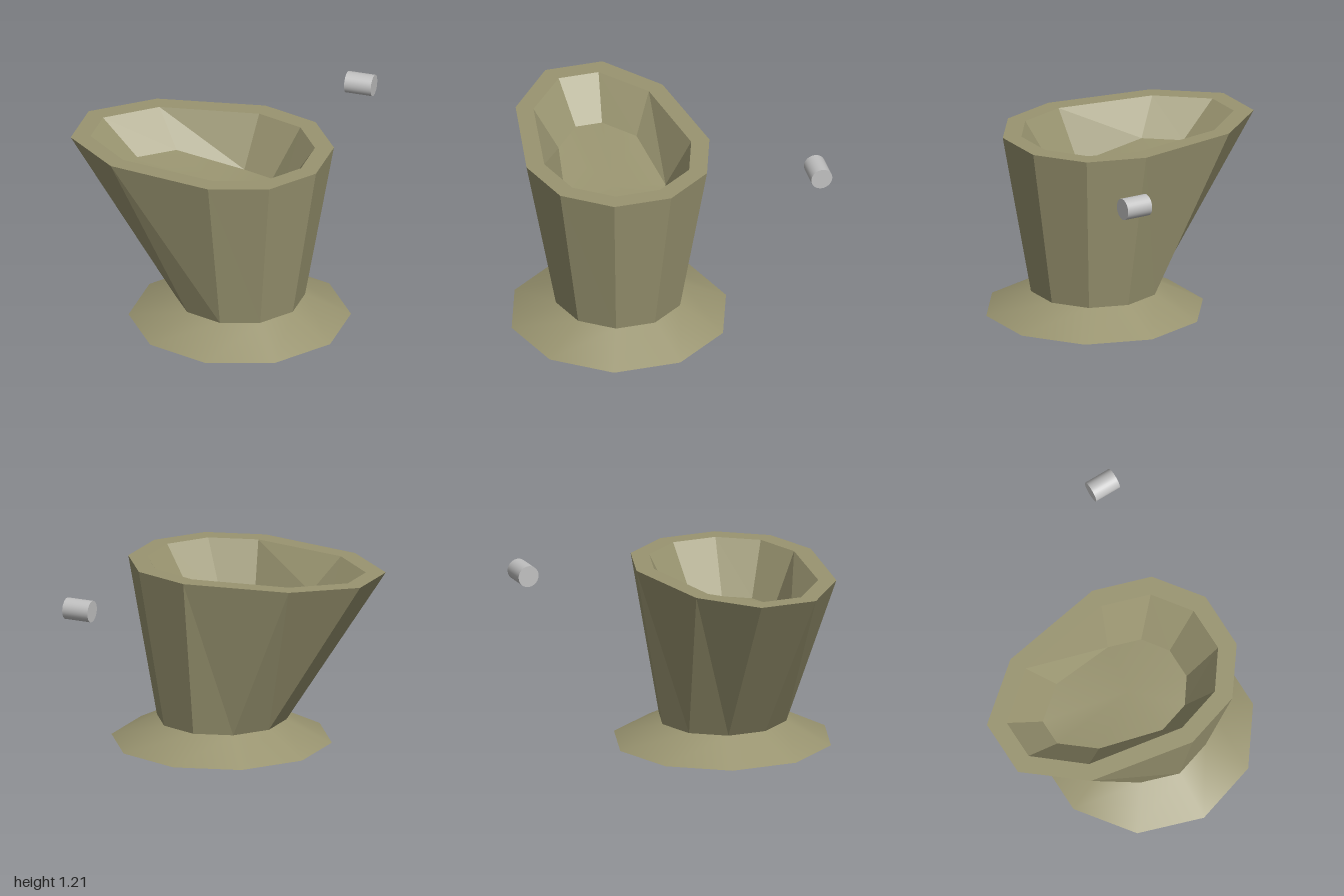
import * as THREE from 'three';
import { mergeVertices } from 'three/addons/utils/BufferGeometryUtils.js';

const CX = 0.2, CZ = 0.28, SIDES = 10;

// Ten-sided ring, mirrored in z; half lists [x, z offset, y] from the +x side to the -x side
function ring(half) {
  const near = half.map(([x, dz, y]) => new THREE.Vector3(x, y, CZ + dz));
  const far = half.map(([x, dz, y]) => new THREE.Vector3(x, y, CZ - dz)).reverse();
  return near.concat(far);
}

// Faceted strip of faces joining ring a to ring b
function band(a, b) {
  const points = [];
  for (let i = 0; i < SIDES; i++) {
    const j = (i + 1) % SIDES;
    points.push(a[i], b[j], a[j], a[i], b[i], b[j]);
  }
  const geometry = new THREE.BufferGeometry().setFromPoints(points);
  geometry.computeVertexNormals();
  return geometry;
}

// Smooth fan joining a ring to a centre point
function fan(a, centre) {
  const points = [];
  for (let i = 0; i < SIDES; i++) points.push(a[i], centre, a[(i + 1) % SIDES]);
  const geometry = mergeVertices(new THREE.BufferGeometry().setFromPoints(points));
  geometry.computeVertexNormals();
  return geometry;
}

export function createModel() {
  const group = new THREE.Group();
  const khaki = new THREE.MeshStandardMaterial({ color: 0x999470 });
  khaki.name = 'khaki';
  const grey = new THREE.MeshStandardMaterial({ color: 0xc0c0c0 });
  grey.name = 'grey';

  const add = (name, geometry, material) => {
    const mesh = new THREE.Mesh(geometry, material);
    mesh.name = name;
    group.add(mesh);
    return mesh;
  };

  // Flared foot
  add('foot', new THREE.CylinderGeometry(0.42, 0.715, 0.145, SIDES), khaki)
    .position.set(CX, 0.0725, CZ);

  // Rings of the leaning bowl
  const neck = ring([18, 54, 90, 126, 162].map((deg) => {
    const t = THREE.MathUtils.degToRad(deg);
    return [CX + 0.42 * Math.cos(t), 0.42 * Math.sin(t), 0.145];
  }));
  const top = 1.205;
  const outerRim = ring([
    [0.775, 0.19, top], [0.555, 0.49, top], [0.18, 0.61, top], [-0.515, 0.49, top], [-0.88, 0.19, top],
  ]);
  const innerRim = ring([
    [0.66, 0.148, top], [0.485, 0.39, top], [0.175, 0.49, top], [-0.465, 0.385, top], [-0.765, 0.133, top],
  ]);
  const floorEdge = ring([
    [0.45, 0.103, 0.87], [0.335, 0.265, 0.87], [0.125, 0.333, 0.87], [-0.31, 0.26, 0.98], [-0.52, 0.088, 0.98],
  ]);

  add('bowlOuterWall', band(neck, outerRim), khaki);
  add('bowlRim', band(outerRim, innerRim), khaki);
  add('bowlInnerWall', band(innerRim, floorEdge), khaki);
  add('bowlFloor', fan(floorEdge, new THREE.Vector3(0.08, 0.89, CZ)), khaki);

  // Small detached roller
  const roller = add('roller', new THREE.CylinderGeometry(0.07, 0.07, 0.18, 32), grey);
  roller.rotation.z = Math.PI / 2;
  roller.position.set(0.63, 1.137, -0.93);

  return group;
}
